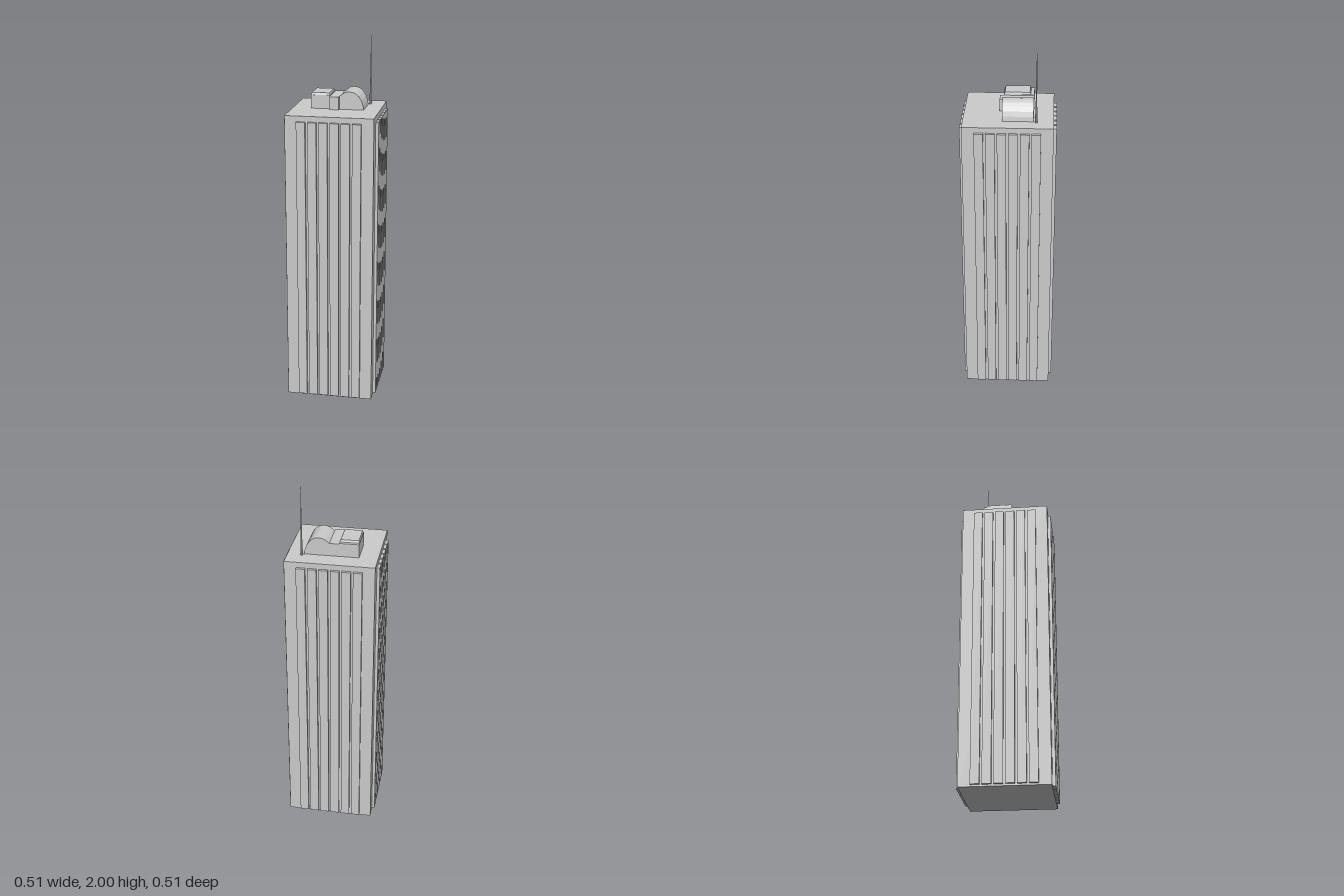
import * as THREE from 'three';

const material = new THREE.MeshStandardMaterial({ color: 0xcccccc, flatShading: true });

// Box given by its min and max corners
function box(name, x0, x1, y0, y1, z0, z1) {
  const mesh = new THREE.Mesh(new THREE.BoxGeometry(x1 - x0, y1 - y0, z1 - z0), material);
  mesh.position.set((x0 + x1) / 2, (y0 + y1) / 2, (z0 + z1) / 2);
  mesh.name = name;
  return mesh;
}

export function createModel() {
  const model = new THREE.Group();
  model.name = 'skyscraper';
  const half = 0.239, roof = 1.62;

  // Main shaft
  model.add(box('tower', -half, half, 0, roof, -half, half));

  // Six vertical ribs on each of the four faces
  for (let side = 0; side < 4; side++) {
    const face = new THREE.Group();
    face.name = 'facadeRibs';
    for (let i = 0; i < 6; i++) {
      const x = (i - 2.5) * 0.06;
      face.add(box('rib', x - 0.024, x + 0.024, 0.01, 1.59, half - 0.01, 0.255));
    }
    face.rotation.y = side * Math.PI / 2;
    model.add(face);
  }

  // Rooftop plant rooms
  model.add(box('plantRoom', -0.139, -0.033, roof, 1.694, -0.133, 0.03));
  model.add(box('linkBlock', -0.033, 0.018, roof, 1.69, -0.133, 0.05));

  // Bevelled cap on the plant room
  const capGeometry = new THREE.BoxGeometry(0.102, 0.012, 0.143);
  const p = capGeometry.attributes.position;
  for (let i = 0; i < p.count; i++) {
    if (p.getY(i) > 0) p.setXYZ(i, p.getX(i) * 0.93, p.getY(i), p.getZ(i) * 0.93);
  }
  const cap = new THREE.Mesh(capGeometry, material);
  cap.name = 'plantRoomCap';
  cap.position.set(-0.086, 1.7, -0.043);
  model.add(cap);

  // Curved roof hall
  const profile = new THREE.Shape([
    [0.018, roof], [0.152, roof], [0.148, 1.645], [0.139, 1.67], [0.125, 1.692],
    [0.107, 1.708], [0.09, 1.715], [0.07, 1.717], [0.05, 1.713], [0.033, 1.703], [0.018, 1.69],
  ].map(([x, y]) => new THREE.Vector2(x, y)));
  const hall = new THREE.Mesh(
    new THREE.ExtrudeGeometry(profile, { depth: 0.165, bevelEnabled: false }), material);
  hall.name = 'curvedHall';
  hall.position.z = -0.133;
  model.add(hall);

  // Tapered antenna mast
  const mastProfile = [[0, roof], [0.007, roof], [0.004, 1.72], [0.0025, 1.86], [0.001, 2], [0, 2]];
  const mast = new THREE.Mesh(
    new THREE.LatheGeometry(mastProfile.map(([r, y]) => new THREE.Vector2(r, y)), 8), material);
  mast.name = 'antenna';
  mast.position.set(0.162, 0, -0.147);
  model.add(mast);

  return model;
}
